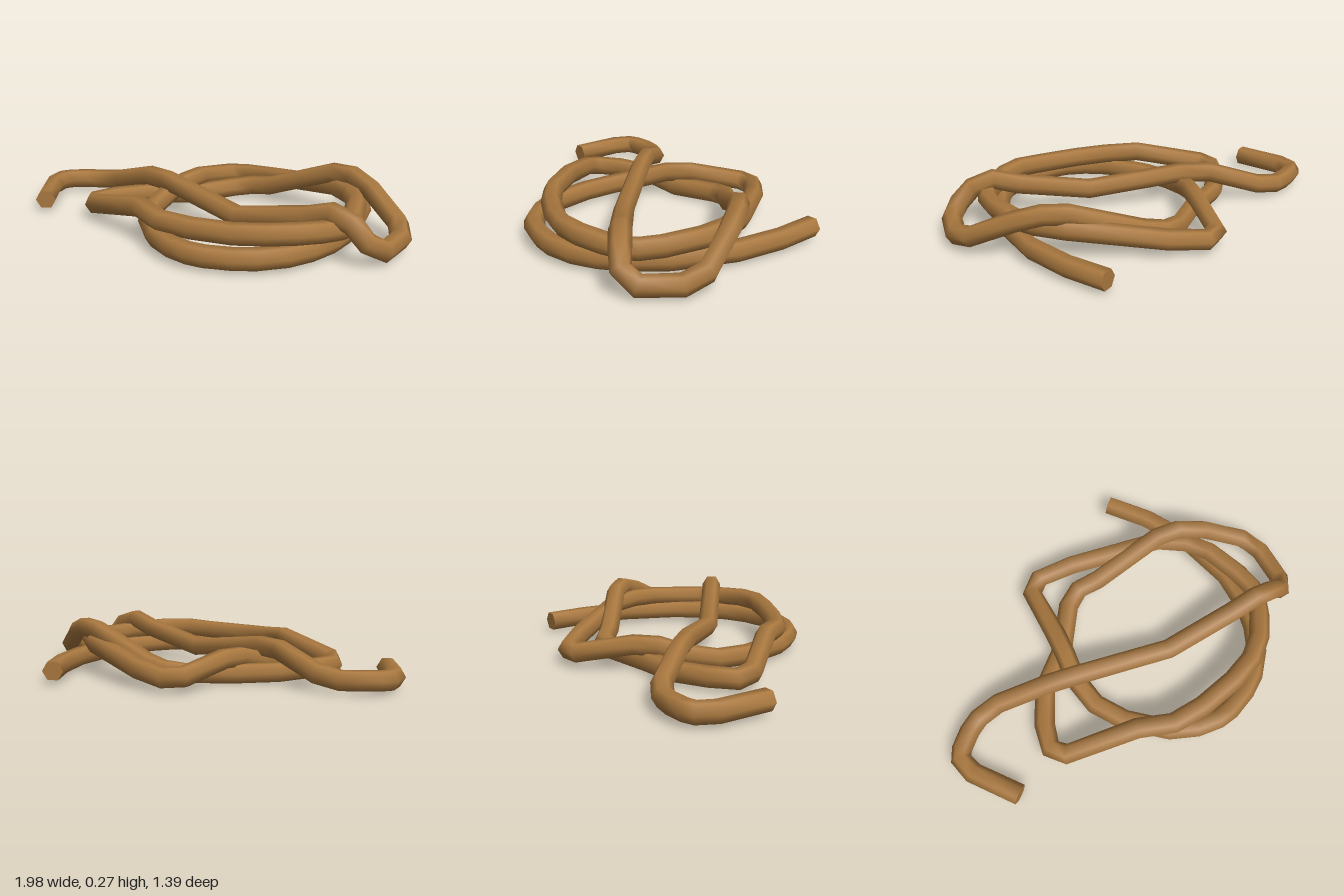
import * as THREE from 'three';

const SIDES = 6;
const RADIUS = 0.051;
const CUT = 0.07; // length trimmed off each side of a sharp bend
const SHARP = 0.42; // bends above this angle are trimmed

// Corners of the single rope, from one loose end to the other: x, y, z
const CORNERS = [
  // loose end and low loop lying on the ground
  [0.37, 0.065, -0.67], [0.51, 0.065, -0.5], [0.63, 0.065, -0.29], [0.71, 0.065, 0],
  [0.71, 0.065, 0.25], [0.6, 0.065, 0.49], [0.4, 0.065, 0.62], [0.21, 0.065, 0.645],
  [0.03, 0.065, 0.57], [-0.14, 0.062, 0.42], [-0.23, 0.065, 0.28],
  // up the inside, over the diagonal and round the back corner
  [-0.26, 0.09, 0.12], [-0.24, 0.138, -0.06], [-0.235, 0.065, -0.47], [0.02, 0.09, -0.44],
  [0.47, 0.152, -0.32], [0.65, 0.155, -0.2], [0.77, 0.14, 0.1],
  // second loop resting on the first
  [0.755, 0.145, 0.23], [0.61, 0.165, 0.45], [0.42, 0.15, 0.52], [0.22, 0.145, 0.56],
  [0.05, 0.145, 0.565], [-0.12, 0.16, 0.505], [-0.54, 0.07, 0.425], [-0.5, 0.065, 0.25],
  [-0.41, 0.055, 0.08], [-0.24, 0.045, -0.06], [-0.06, 0.062, -0.31], [0.1, 0.09, -0.3],
  // raised bight on the right
  [0.52, 0.245, -0.315], [0.7, 0.19, -0.245], [0.945, 0.065, -0.11], [0.95, 0.065, 0.21],
  [0.78, 0.235, 0.215], [0.6, 0.175, 0.215], [0.23, 0.1, 0.213],
  // strand across the top, down to the other loose end
  [-0.25, 0.165, 0.13], [-0.4, 0.16, 0.1], [-0.72, 0.062, 0.035], [-0.89, 0.065, 0.13],
  [-0.955, 0.065, 0.24], [-0.76, 0.065, 0.5],
];

// Replace each sharp corner by two points a short way along its arms
function trimBends(corners) {
  const pts = corners.map((p) => new THREE.Vector3(...p));
  return pts.flatMap((p, i) => {
    if (i === 0 || i === pts.length - 1) return [p];
    const back = pts[i - 1].clone().sub(p);
    const ahead = pts[i + 1].clone().sub(p);
    if (Math.PI - back.angleTo(ahead) < SHARP) return [p];
    return [back, ahead].map((arm) => {
      const reach = Math.min(CUT, arm.length() * 0.3);
      return p.clone().addScaledVector(arm.normalize(), reach);
    });
  });
}

// Sweep a six-sided section along the path and cap both ends
function ropeGeometry(pts) {
  const up = new THREE.Vector3(0, 1, 0);
  const last = pts.length - 1;
  const pos = [];
  const index = [];

  pts.forEach((p, i) => {
    const before = p.clone().sub(pts[Math.max(i - 1, 0)]).normalize();
    const after = pts[Math.min(i + 1, last)].clone().sub(p).normalize();
    const tangent = before.add(after).normalize();
    const side = tangent.clone().cross(up).normalize();
    const normal = side.clone().cross(tangent);
    for (let j = 0; j < SIDES; j++) {
      const a = (j / SIDES) * Math.PI * 2;
      const v = p.clone()
        .addScaledVector(side, Math.cos(a) * RADIUS)
        .addScaledVector(normal, Math.sin(a) * RADIUS);
      pos.push(v.x, v.y, v.z);
    }
  });

  for (let i = 0; i < last; i++) {
    for (let j = 0; j < SIDES; j++) {
      const a = i * SIDES + j;
      const b = i * SIDES + ((j + 1) % SIDES);
      index.push(a, a + SIDES, b, b, a + SIDES, b + SIDES);
    }
  }

  // End caps with their own corners, so their edges stay sharp
  for (const ring of [0, last]) {
    const base = pos.length / 3;
    const from = ring * SIDES * 3;
    pos.push(...pos.slice(from, from + SIDES * 3));
    for (let j = 1; j < SIDES - 1; j++) {
      if (ring === 0) index.push(base, base + j, base + j + 1);
      else index.push(base, base + j + 1, base + j);
    }
  }

  const geometry = new THREE.BufferGeometry();
  geometry.setAttribute('position', new THREE.Float32BufferAttribute(pos, 3));
  geometry.setIndex(index);
  geometry.computeVertexNormals();
  return geometry;
}

export function createModel() {
  const group = new THREE.Group();
  group.name = 'coiledRope';
  const material = new THREE.MeshStandardMaterial({ color: 0xa9783f });
  material.name = 'rope brown';
  const rope = new THREE.Mesh(ropeGeometry(trimBends(CORNERS)), material);
  rope.name = 'rope';
  group.add(rope);
  return group;
}
